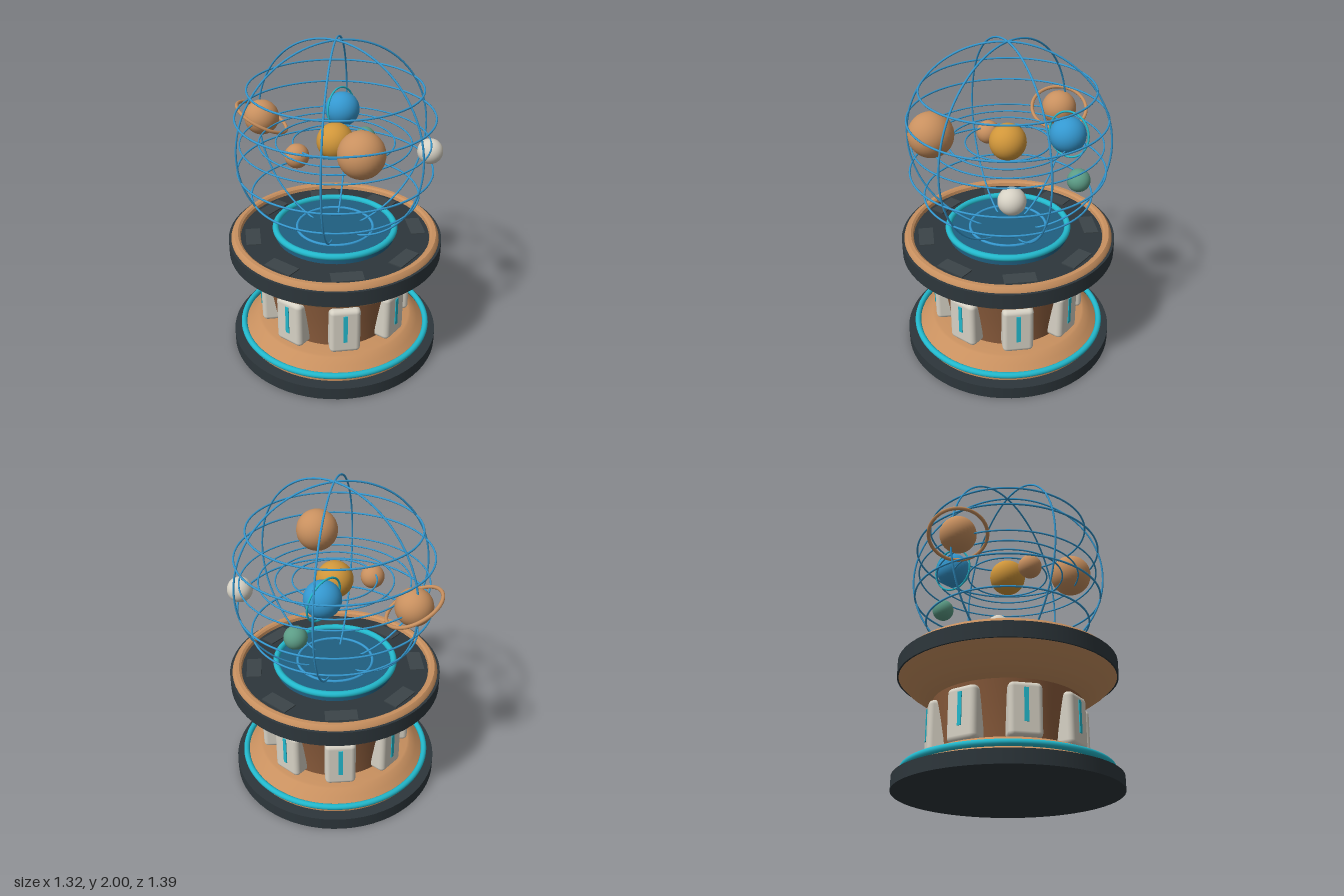
import * as THREE from 'three';
import { toCreasedNormals } from 'three/addons/utils/BufferGeometryUtils.js';
import { RoundedBoxGeometry } from 'three/addons/geometries/RoundedBoxGeometry.js';

const mat = (name, color) => {
  const m = new THREE.MeshStandardMaterial({ color });
  m.name = name;
  return m;
};

export function createModel() {
  const copper = mat('copper', 0xc8905f);
  const bronze = mat('bronze', 0x8f5f3e);
  const charcoal = mat('charcoal', 0x2d363b);
  const slate = mat('slate', 0x3b4448);
  const cyan = mat('cyan', 0x22b8cc);
  const blue = mat('blue', 0x3498d0);
  const deepBlue = mat('deep blue', 0x1f5f80);
  const gold = mat('gold', 0xd0963a);
  const ivory = mat('ivory', 0xd6d1c4);
  const green = mat('green', 0x5c9c86);

  const model = new THREE.Group();
  model.name = 'orrery';
  // Everything is laid out around the pedestal axis
  const root = new THREE.Group();
  root.name = 'pedestalAndGlobe';
  root.position.z = 0.033;
  model.add(root);

  const add = (name, geometry, material, x = 0, y = 0, z = 0, parent = root) => {
    const mesh = new THREE.Mesh(geometry, material);
    mesh.name = name;
    mesh.position.set(x, y, z);
    parent.add(mesh);
    return mesh;
  };
  const lathe = (name, profile, material) => {
    const points = profile.map(([r, y]) => new THREE.Vector2(r, y));
    return add(name, toCreasedNormals(new THREE.LatheGeometry(points, 64), 0.6), material);
  };
  const flatRing = (name, radius, tube, y, material, sides = 8) => {
    const ring = add(name, new THREE.TorusGeometry(radius, tube, sides, 96), material, 0, y, 0);
    ring.rotation.x = Math.PI / 2;
    return ring;
  };

  // Base
  add('baseDisc', new THREE.CylinderGeometry(0.66, 0.66, 0.08, 64), charcoal, 0, 0.04, 0);
  lathe('baseStep', [[0.59, 0.08], [0.59, 0.1], [0.54, 0.15], [0.5, 0.185], [0.485, 0.19], [0.3, 0.19]], copper);
  flatRing('baseGlowRing', 0.597, 0.019, 0.125, cyan, 12);

  // Column and flared collar
  lathe('column', [[0.388, 0.185], [0.4, 0.28], [0.42, 0.4], [0.447, 0.535]], bronze);
  lathe('collar', [[0.4, 0.53], [0.46, 0.53], [0.53, 0.575], [0.6, 0.625], [0.655, 0.68]], copper);

  // Eight padded panels, each with a light strip
  for (let i = 0; i < 8; i++) {
    const bay = new THREE.Group();
    bay.name = 'columnPanel';
    bay.rotation.y = i * Math.PI / 4;
    root.add(bay);
    add('panelBody', new RoundedBoxGeometry(0.19, 0.31, 0.12, 2, 0.03), ivory, 0, 0.35, 0.415, bay);
    add('panelLight', new THREE.BoxGeometry(0.025, 0.19, 0.012), cyan, 0, 0.373, 0.474, bay);
    add('deckPlate', new THREE.BoxGeometry(0.19, 0.008, 0.09), slate, 0, 0.773, 0.51, bay);
  }

  // Table top
  add('tableRim', new THREE.CylinderGeometry(0.66, 0.66, 0.095, 64), charcoal, 0, 0.7225, 0);
  lathe('tableLip', [[0.645, 0.77], [0.64, 0.785], [0.625, 0.8], [0.603, 0.8], [0.59, 0.79], [0.585, 0.768]], copper);
  add('centreDisc', new THREE.CylinderGeometry(0.37, 0.37, 0.045, 64), deepBlue, 0, 0.7925, 0);
  flatRing('discGlowRing', 0.368, 0.02, 0.818, cyan, 12);
  flatRing('discInnerRing', 0.235, 0.009, 0.816, blue);

  // Wire globe: three meridians and four parallels
  const R = 0.605, midY = 1.39, wire = 0.006;
  for (const angle of [-Math.PI / 6, Math.PI / 6, Math.PI / 2]) {
    const rib = add('globeMeridian', new THREE.TorusGeometry(R, wire, 8, 96), blue, 0, midY, 0);
    rib.rotation.y = angle;
  }
  for (const dy of [-0.333, -0.166, 0.166, 0.333]) {
    flatRing('globeParallel', Math.sqrt(R * R - dy * dy), wire, midY + dy, blue);
  }

  // Planet orbits
  for (const r of [0.25, 0.35, 0.45, 0.562]) flatRing('orbit', r, 0.005, midY, blue);

  // Sun and planets
  const ball = (name, r, material, x, y, z) =>
    add(name, new THREE.SphereGeometry(r, 32, 24), material, x, y, z, model);
  ball('sun', 0.111, gold, 0, midY, 0.033);
  ball('smallCopperPlanet', 0.072, copper, -0.23, 1.35, -0.07);
  ball('largeCopperPlanet', 0.132, copper, -0.26, 1.5, 0.405);
  ball('greenPlanet', 0.068, green, 0.44, 1.238, -0.06);
  ball('ivoryPlanet', 0.077, ivory, 0.36, 1.315, 0.468);
  ball('bluePlanet', 0.108, blue, 0.303, 1.455, -0.142);
  ball('ringedPlanet', 0.109, copper, -0.02, 1.41, -0.528);

  const blueRing = add('bluePlanetRing', new THREE.TorusGeometry(0.134, 0.006, 8, 64), cyan, 0.303, 1.455, -0.15, model);
  blueRing.rotation.x = -0.15;

  // Tilted planetary ring, oriented by its axis
  const tilted = add('ringedPlanetRing', new THREE.TorusGeometry(0.172, 0.011, 8, 64), copper, -0.02, 1.41, -0.528, model);
  tilted.quaternion.setFromUnitVectors(
    new THREE.Vector3(0, 0, 1), new THREE.Vector3(0.31, 0.88, 0.36).normalize());

  return model;
}
